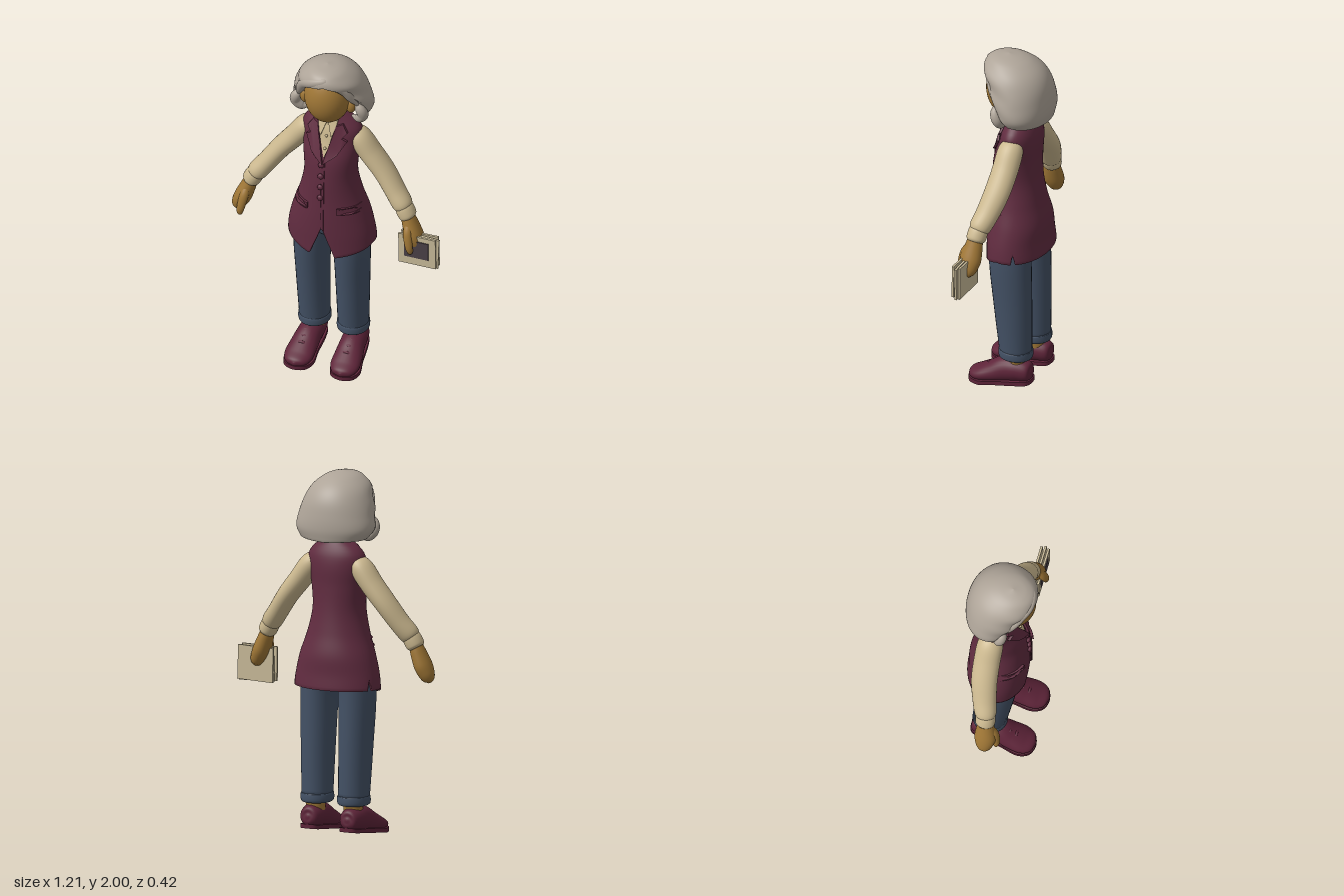
import * as THREE from 'three';
import { toCreasedNormals } from 'three/addons/utils/BufferGeometryUtils.js';

const mat = (name, color, side = THREE.FrontSide) => {
  const m = new THREE.MeshStandardMaterial({ color, side });
  m.name = name;
  return m;
};
const V = (x, y, z) => new THREE.Vector3(x, y, z);
const lerp = THREE.MathUtils.lerp;

// Indexed smooth surface from closed rings of points, optionally capped
function skin(rings, caps) {
  const n = rings[0].length, pos = [], idx = [];
  rings.forEach(r => r.forEach(p => pos.push(p.x, p.y, p.z)));
  for (let j = 0; j < rings.length - 1; j++)
    for (let i = 0; i < n; i++) {
      const a = j * n + i, b = j * n + (i + 1) % n;
      idx.push(a, b, b + n, a, b + n, a + n);
    }
  if (caps) [0, rings.length - 1].forEach((j, k) => {
    const c = rings[j].reduce((s, p) => s.add(p), V(0, 0, 0)).divideScalar(n), ci = pos.length / 3;
    pos.push(c.x, c.y, c.z);
    for (let i = 0; i < n; i++) {
      const a = j * n + i, b = j * n + (i + 1) % n;
      if (k) idx.push(a, b, ci); else idx.push(b, a, ci);
    }
  });
  const g = new THREE.BufferGeometry();
  g.setAttribute('position', new THREE.Float32BufferAttribute(pos, 3));
  g.setIndex(idx);
  g.computeVertexNormals();
  return g;
}

// Elliptical sweep through [x, y, z, radiusAcross, radiusAlongRef]
function sweep(pts, ref = V(0, 0, 1), steps = pts.length * 6, n = 28) {
  const path = new THREE.CatmullRomCurve3(pts.map(p => V(p[0], p[1], p[2])), false, 'catmullrom');
  const radii = new THREE.CatmullRomCurve3(pts.map(p => V(p[3], p[4], 0)), false, 'catmullrom');
  const rings = [];
  for (let j = 0; j <= steps; j++) {
    const c = path.getPoint(j / steps), T = path.getTangent(j / steps), r = radii.getPoint(j / steps);
    const B = ref.clone().addScaledVector(T, -ref.dot(T)).normalize(), A = B.clone().cross(T);
    rings.push(Array.from({ length: n }, (_, i) => {
      const f = i / n * Math.PI * 2;
      return c.clone().addScaledVector(A, Math.max(r.x, .001) * Math.cos(f))
        .addScaledVector(B, Math.max(r.y, .001) * Math.sin(f));
    }));
  }
  return skin(rings, true);
}

// Smooth lookup in a profile of [y, rx, rz, cz]
function sample(P, y) {
  let i = 0;
  while (i < P.length - 2 && y > P[i + 1][0]) i++;
  const h = P[i + 1][0] - P[i][0], t = THREE.MathUtils.clamp((y - P[i][0]) / h, 0, 1);
  const slope = (j, k) => {
    const a = P[Math.max(j - 1, 0)], b = P[Math.min(j + 1, P.length - 1)];
    return (b[k] - a[k]) / (b[0] - a[0]);
  };
  return [1, 2, 3].map(k => {
    const t2 = t * t, t3 = t2 * t;
    return (2 * t3 - 3 * t2 + 1) * P[i][k] + (t3 - 2 * t2 + t) * h * slope(i, k)
      + (3 * t2 - 2 * t3) * P[i + 1][k] + (t3 - t2) * h * slope(i + 1, k);
  });
}

// Upright shell with a hem and top edge that vary with the angle (degrees, 0 = front)
function shell(P, hem, top, { scale = 1, curl = [], ease = t => t, wave = () => 0 } = {}) {
  const n = 180, rows = 44, rings = [];
  const ring = (v, s, dy) => Array.from({ length: n }, (_, i) => {
    let d = i * 360 / n;
    if (d > 180) d -= 360;
    const y = lerp(hem(d), top(d), v), [rx, rz, cz] = sample(P, y), a = d * Math.PI / 180;
    const k = scale * s * (1 + wave(d, y));
    return V(rx * k * Math.sin(a), y + dy, cz + rz * k * Math.cos(a));
  });
  curl.forEach(([s, dy]) => rings.push(ring(0, s, dy)));
  for (let j = 0; j <= rows; j++) rings.push(ring(ease(j / rows), 1, 0));
  return skin(rings, false);
}

const VEST = [[.74, .25, .17, -.03], [.82, .25, .17, -.03], [.9, .24, .167, -.026], [1, .215, .165, -.025],
  [1.12, .175, .15, -.015], [1.25, .148, .138, -.008], [1.38, .155, .127, -.012], [1.48, .165, .11, -.03],
  [1.55, .165, .095, -.035], [1.6, .125, .075, -.035], [1.635, .072, .062, -.028]];
const HAIR = [[1.64, .19, .13, -.07], [1.7, .225, .155, -.055], [1.78, .215, .17, -.035], [1.86, .19, .175, -.012],
  [1.92, .16, .165, .015], [1.965, .112, .127, .036], [1.988, .065, .075, .045], [2, 0, 0, .045]];

const frontZ = (x, y) => {
  const [rx, rz, cz] = sample(VEST, y);
  return cz + rz * Math.sqrt(Math.max(0, 1 - (x / rx) ** 2));
};

// Thin cloth piece cut from an outline and laid on the vest front
function patch(outline, lift = .004, depth = .014) {
  const pts = [];
  outline.forEach((p, i) => {
    const q = outline[(i + 1) % outline.length];
    for (let k = 0; k < 6; k++) pts.push(new THREE.Vector2(lerp(p[0], q[0], k / 6), lerp(p[1], q[1], k / 6)));
  });
  const g = new THREE.ExtrudeGeometry(new THREE.Shape(pts), { depth, bevelEnabled: false });
  const a = g.attributes.position;
  for (let i = 0; i < a.count; i++) a.setZ(i, a.getZ(i) + lift + frontZ(a.getX(i), a.getY(i)));
  g.computeVertexNormals();
  return toCreasedNormals(g, .7);
}

export function createModel() {
  const model = new THREE.Group(), body = new THREE.Group();
  model.name = 'model';
  body.name = 'figure';
  body.position.x = -.04;
  model.add(body);
  const wine = mat('wine cloth', 0x612c40, THREE.DoubleSide), shoeMat = mat('wine leather', 0x5e2439);
  const cream = mat('cream cloth', 0xcbb88f, THREE.DoubleSide), denim = mat('blue trousers', 0x435165);
  const skinMat = mat('skin', 0xa07736), hairMat = mat('grey hair', 0xaea498, THREE.DoubleSide);
  const paper = mat('book paper', 0xc9bb99), dark = mat('dark picture', 0x4b4147);
  const add = (name, g, m, x = 0, y = 0, z = 0) => {
    const o = new THREE.Mesh(g, m);
    o.name = name;
    o.position.set(x, y, z);
    body.add(o);
    return o;
  };

  // Vest with a V neck, pointed front hem and two vents behind the hips
  const hem = d => {
    d = Math.abs(d);
    const base = d < 17 ? lerp(.95, .755, d / 17) : lerp(.755, .82, Math.min(1, (d - 17) / 63));
    return base + .055 * Math.max(0, 1 - Math.abs(d - 112) / 4);
  };
  const neckline = d => lerp(1.4, 1.635, Math.min(1, Math.abs(d) / 27));
  add('vest', shell(VEST, hem, neckline, { curl: [[.94, .02], [.96, 0]] }), wine);
  add('blouse', shell(VEST, () => 1.25, () => 1.63, { scale: .93 }), cream);
  add('blouseCollar', sweep([[0, 1.56, -.02, .066, .06], [0, 1.6, -.018, .064, .062], [0, 1.645, -.012, .056, .056]]), cream);
  add('frontOverlap', patch([[-.005, .95], [.012, .93], [.012, 1.38], [-.005, 1.38]], 0, .006), wine);
  for (const y of [1.36, 1.29, 1.22, 1.15]) {
    const b = add('vestButton', new THREE.SphereGeometry(.017, 16, 10), wine, -.008, y, frontZ(0, y) + .006);
    b.scale.z = .7;
  }
  for (const y of [1.45, 1.52])
    add('blouseButton', new THREE.SphereGeometry(.008, 12, 8), cream, 0, y, frontZ(0, y) - .004);

  // Head
  add('neck', sweep([[0, 1.55, -.02, .05, .05], [0, 1.72, .01, .052, .055]]), skinMat);
  add('head', new THREE.SphereGeometry(1, 40, 28).scale(.13, .17, .13), skinMat, 0, 1.79, .04);

  // Bob of hair, parted on one side
  const edge = [[0, 1.925], [25, 1.905], [45, 1.865], [62, 1.785], [72, 1.70], [82, 1.655], [181, 1.64]];
  const hairHem = d => {
    const a = Math.abs(d - 10 * Math.max(0, 1 - Math.abs(d) / 60));
    const i = Math.max(1, edge.findIndex(e => a < e[0]));
    return lerp(edge[i - 1][1], edge[i][1], (a - edge[i - 1][0]) / (edge[i][0] - edge[i - 1][0]));
  };
  add('hair', shell(HAIR, hairHem, () => 2, {
    curl: [[.45, .02], [.75, .006], [.9, -.006], [.97, -.004]],
    ease: t => Math.sin(t * Math.PI / 2),
    wave: (d, y) => .022 * Math.sin(y * 55 + d * .06) * Math.max(0, 1 - Math.abs(Math.abs(d) - 55) / 50) * (y < 1.95 ? 1 : (2 - y) / .05)
  }), hairMat);
  add('fringeLock', sweep([[.05, 1.955, .12, .006, .006], [.02, 1.95, .15, .022, .02], [-.05, 1.925, .155, .026, .02],
    [-.115, 1.88, .115, .026, .022], [-.15, 1.81, .07, .024, .024], [-.175, 1.74, .035, .006, .006]]), hairMat);
  add('fringeLock', sweep([[.04, 1.955, .135, .006, .006], [.07, 1.925, .14, .02, .018], [.115, 1.88, .105, .024, .02],
    [.145, 1.82, .07, .024, .022], [.175, 1.75, .035, .006, .006]]), hairMat);

  for (const s of [1, -1]) {
    const m = pts => pts.map(([x, ...r]) => [x * s, ...r]);
    add('ear', new THREE.SphereGeometry(1, 20, 14).scale(.03, .045, .026), skinMat, .132 * s, 1.745, .04);
    add('sideCurl', sweep(m([[.15, 1.77, .03, .008, .008], [.185, 1.73, .035, .028, .026], [.195, 1.685, .02, .03, .03],
      [.165, 1.65, .01, .026, .024], [.125, 1.648, 0, .006, .006]])), hairMat);

    // Lapels, shirt collar points and pocket flaps
    add('lapel', patch(m([[0, 1.37], [.052, 1.59], [.085, 1.6], [.115, 1.555], [.09, 1.525], [.118, 1.505], [.075, 1.43]])), wine);
    add('collarPoint', patch(m([[.006, 1.6], [.055, 1.62], [.05, 1.56], [.03, 1.525]]), -.002, .012), cream);
    add('pocketFlap', patch(m([[.085, 1.09], [.185, 1.085], [.195, 1.045], [.085, 1.055]]), .001, .014), wine);

    // Sleeve, cuff and mitten-like hand
    add('sleeve', sweep(m([[.1, 1.52, -.04, .035, .045], [.15, 1.485, -.04, .062, .07], [.22, 1.395, -.04, .061, .073],
      [.3, 1.297, -.033, .057, .072], [.37, 1.2, -.012, .055, .066], [.42, 1.135, .008, .055, .06], [.437, 1.11, .014, .04, .045]])), cream);
    add('cuff', sweep(m([[.424, 1.13, .01, .04, .045], [.432, 1.117, .012, .05, .054], [.453, 1.078, .016, .05, .054],
      [.461, 1.063, .017, .04, .044]])), cream);
    add('hand', sweep(m([[.45, 1.09, .018, .034, .038], [.468, 1.035, .022, .042, .05], [.495, .965, .028, .048, .06],
      [.518, .915, .028, .042, .048], [.53, .885, .025, .028, .03], [.534, .872, .022, .003, .003]])), skinMat);
    add('thumb', sweep(m([[.468, 1.04, .045, .02, .02], [.475, .99, .075, .025, .022], [.488, .92, .09, .022, .018],
      [.495, .88, .088, .015, .012], [.497, .87, .086, .003, .003]])), skinMat);

    // Trouser leg with rolled cuff
    add('trouserLeg', sweep(m([[.085, 1.05, -.03, .08, .1], [.1, .92, -.025, .1, .115], [.115, .78, -.02, .1, .12],
      [.115, .5, -.036, .092, .108], [.112, .2, -.053, .084, .09]])), denim);
    add('trouserCuff', sweep(m([[.112, .232, -.052, .082, .09], [.112, .222, -.052, .089, .096], [.112, .19, -.053, .089, .096],
      [.112, .178, -.053, .078, .086]])), denim);
    add('ankle', new THREE.CylinderGeometry(.055, .052, .12, 20), skinMat, .115 * s, .15, -.065);

    // Shoe: upper, tilted sole and laces
    const toY = V(0, 1, 0);
    add('shoeUpper', sweep(m([[.12, .1, -.152, .008, .01], [.12, .1, -.138, .05, .052], [.122, .105, -.07, .066, .068],
      [.126, .093, 0, .07, .072], [.131, .067, .07, .078, .058], [.134, .045, .14, .08, .042], [.134, .036, .19, .056, .028],
      [.134, .032, .21, .008, .01]]), toY), shoeMat);
    const outline = m([[.134, .212], [.195, .19], [.218, .13], [.2, .03], [.185, -.08], [.165, -.145], [.12, -.156],
      [.075, -.145], [.06, -.08], [.058, .03], [.05, .13], [.075, .19]]).map(p => new THREE.Vector3(p[0], p[1], 0));
    const loop = new THREE.CatmullRomCurve3(outline, true).getPoints(60).slice(0, -1);
    const sole = new THREE.ExtrudeGeometry(new THREE.Shape(loop.map(p => new THREE.Vector2(p.x, p.y))), { depth: .024, bevelEnabled: false });
    sole.rotateX(Math.PI / 2).translate(0, .024, 0);
    const a = sole.attributes.position;
    for (let i = 0; i < a.count; i++) a.setY(i, a.getY(i) + .14 * Math.max(0, .13 - a.getZ(i)));
    sole.computeVertexNormals();
    add('shoeSole', toCreasedNormals(sole, .8), shoeMat);
    for (const [z, y] of [[.03, .145], [.065, .126], [.1, .106]])
      add('shoeLace', sweep(m([[.085, y - .022, z, .008, .008], [.13, y + .004, z, .009, .009], [.175, y - .022, z, .008, .008]]),
        V(0, 0, 1), 12, 10), shoeMat);
  }
  add('trouserSeat', sweep([[0, .82, -.025, .04, .06], [0, .87, -.025, .12, .11], [0, .97, -.025, .19, .13], [0, 1.1, -.015, .15, .12]]), denim);

  // Small stack of cards held in the left hand
  const slabs = [[.025, .03, .492, .882], [.045, -.035, .498, .88], [.065, .01, .488, .885]];
  for (const [z, turn, x, y] of slabs)
    add('bookBoard', new THREE.BoxGeometry(.215, .19, .012), paper, x + .04, y, z).rotation.z = turn;
  add('bookPicture', new THREE.BoxGeometry(.14, .11, .006), dark, .525, .895, .073).rotation.z = .01;
  return model;
}
